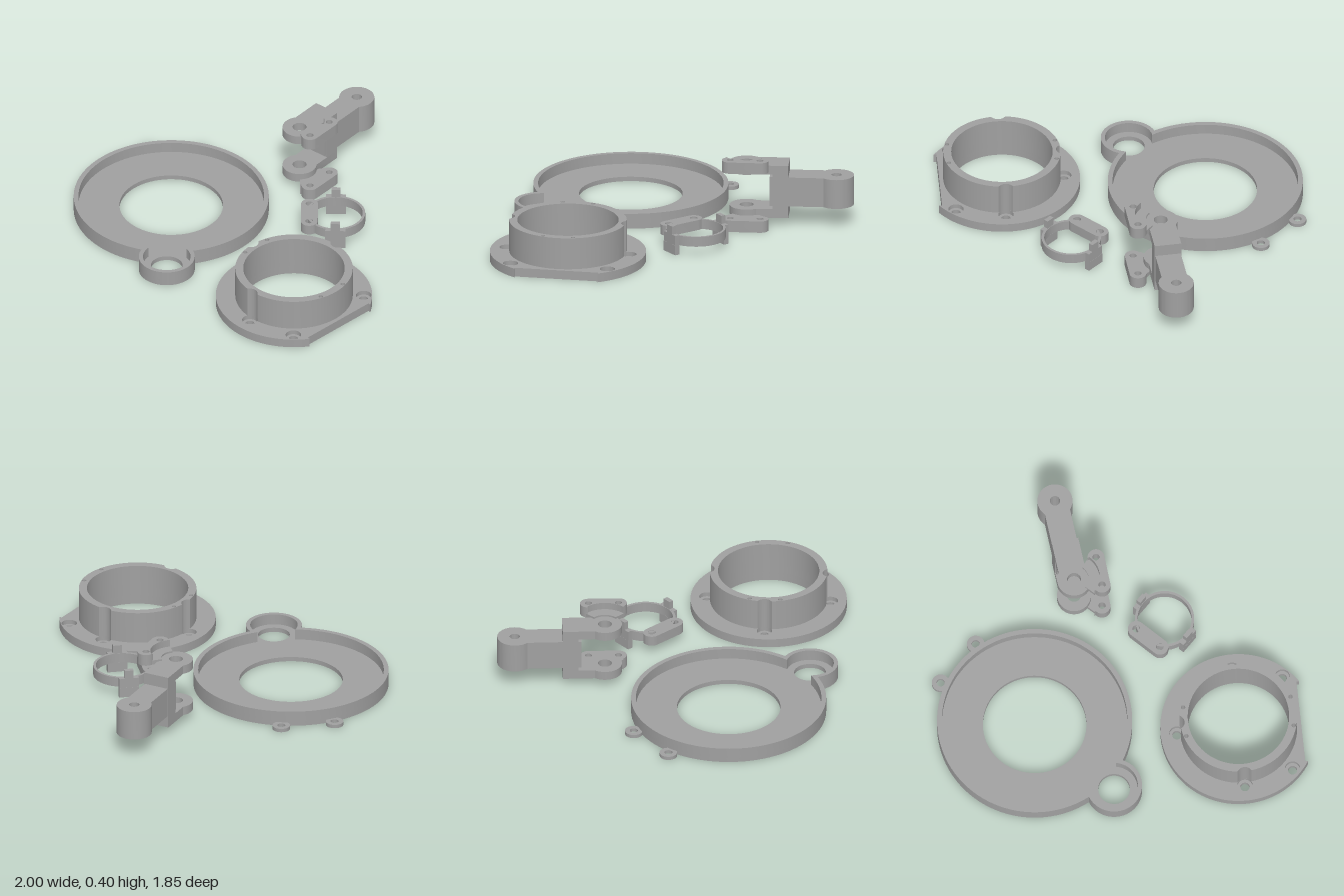
import * as THREE from 'three';
import { toCreasedNormals } from 'three/addons/utils/BufferGeometryUtils.js';

const grey = new THREE.MeshStandardMaterial({ color: 0xa0a0a0 });
grey.name = 'plain grey';
const PI = Math.PI;

// Points on an arc in plan (x, z)
function arc(c, r, a0, a1, n = 32) {
  const pts = [];
  for (let i = 0; i <= n; i++) {
    const a = a0 + (a1 - a0) * i / n;
    pts.push(new THREE.Vector2(c[0] + r * Math.cos(a), c[1] + r * Math.sin(a)));
  }
  return pts;
}
const circle = (c, r, n = 32) => arc(c, r, 0, 2 * PI, n).slice(0, -1);

// Outline of two overlapping circles
function twoCircles(c1, r1, c2, r2) {
  const dx = c2[0] - c1[0], dz = c2[1] - c1[1], d = Math.hypot(dx, dz), th = Math.atan2(dz, dx);
  const a1 = Math.acos((d * d + r1 * r1 - r2 * r2) / (2 * d * r1));
  const a2 = Math.acos((d * d + r2 * r2 - r1 * r1) / (2 * d * r2));
  return [...arc(c1, r1, th + a1, th + 2 * PI - a1, 96), ...arc(c2, r2, th + PI + a2, th + 3 * PI - a2, 40).slice(1, -1)];
}

// Round head with a straight arm leaving it in direction th
function keyhole(c, r, th, w, len) {
  const a = Math.asin(w / r), u = [Math.cos(th), Math.sin(th)];
  const end = s => new THREE.Vector2(c[0] + len * u[0] - s * w * u[1], c[1] + len * u[1] + s * w * u[0]);
  return [...arc(c, r, th + a, th + 2 * PI - a, 40), end(-1), end(1)];
}

// Plan outline raised from y0 to y1
function slab(parent, name, outline, y0, y1, holes = []) {
  const shape = new THREE.Shape(outline);
  shape.holes = holes.map(h => new THREE.Path(h));
  const g = new THREE.ExtrudeGeometry(shape, { depth: y1 - y0, bevelEnabled: false, steps: 1 });
  g.rotateX(PI / 2);
  g.translate(0, y1, 0);
  const mesh = new THREE.Mesh(toCreasedNormals(g, 0.5), grey);
  mesh.name = name;
  parent.add(mesh);
}

function box(parent, name, w, h, d, x, y, z) {
  const mesh = new THREE.Mesh(new THREE.BoxGeometry(w, h, d), grey);
  mesh.position.set(x, y, z);
  mesh.name = name;
  parent.add(mesh);
}

function part(parent, name) {
  const g = new THREE.Group();
  g.name = name;
  parent.add(g);
  return g;
}

// Shallow dish with a round side pocket and two screw ears
function buildDish(root) {
  const g = part(root, 'dish');
  const c = [-0.467, 0.353], lobe = [-0.075, 0.772];
  const outer = twoCircles(c, 0.533, lobe, 0.153);
  slab(g, 'dishFloor', outer, 0, 0.025, [circle(c, 0.283, 72), circle(lobe, 0.087)]);
  slab(g, 'dishWall', outer, 0.025, 0.085, [twoCircles(c, 0.507, lobe, 0.13)]);
  for (const e of [[-0.738, -0.148], [-0.952, 0.056]]) {
    const th = Math.atan2(c[1] - e[1], c[0] - e[0]);
    slab(g, 'dishEar', keyhole(e, 0.048, th, 0.03, 0.06), 0, 0.02, [circle(e, 0.022)]);
  }
}

// Tall collar on a flange with one flat side
function buildCollar(root) {
  const g = part(root, 'collar');
  const c = [0.637, 0.497], bore = circle(c, 0.277, 96);
  const cut = Math.asin(0.232 / 0.427);
  const flange = [...arc(c, 0.427, cut, 2 * PI - cut, 96), new THREE.Vector2(0.98, 0.265), new THREE.Vector2(0.98, 0.729)];
  const screws = [[0.637, 0.159], [0.637, 0.835], [0.299, 0.497], [0.906, 0.228], [0.906, 0.766]];
  slab(g, 'flangeBase', flange, 0, 0.025, [bore, ...screws.map(s => circle(s, 0.025))]);
  slab(g, 'flangeTop', flange, 0.025, 0.05, [bore, ...screws.map(s => circle(s, 0.042))]);

  // Wall scalloped around the three nearest screws
  const wall = [];
  for (let i = 0; i < 360; i++) {
    const a = i * PI / 180;
    let r = 0.321;
    for (const s of [PI / 2, PI, 1.5 * PI]) {
      const side = 0.338 * Math.sin(a - s), along = 0.338 * Math.cos(a - s);
      if (along > 0 && Math.abs(side) < 0.042) r = Math.min(r, along - Math.sqrt(0.042 ** 2 - side ** 2));
    }
    wall.push(new THREE.Vector2(c[0] + r * Math.cos(a), c[1] + r * Math.sin(a)));
  }
  const pins = [];
  for (const x of [-0.295, 0.295]) for (const z of [-0.084, 0.084]) pins.push(circle([c[0] + x, c[1] + z], 0.012, 16));
  slab(g, 'collarWall', wall, 0.05, 0.228, [bore, ...pins]);
}

// Thin ring with a two-hole tab and a pair of clips
function buildClipRing(root) {
  const g = part(root, 'clipRing');
  g.position.set(0.3, 0, -0.152);
  g.rotation.y = -PI / 4;
  slab(g, 'ring', circle([0, 0], 0.162, 72), 0.055, 0.11, [circle([0, 0], 0.148, 72)]);
  const l = [-0.083, 0.143], r = [0.083, 0.143];
  slab(g, 'ringTab', [...arc(r, 0.046, -PI / 2, PI / 2, 20), ...arc(l, 0.046, PI / 2, 1.5 * PI, 20)], 0.055, 0.112,
    [circle(l, 0.021), circle(r, 0.021)]);
  for (const s of [-1, 1]) {
    box(g, 'clipLeg', 0.03, 0.056, 0.11, s * 0.162, 0.028, 0);
    box(g, 'clipBody', 0.026, 0.055, 0.11, s * 0.163, 0.083, 0);
    box(g, 'clipPin', 0.026, 0.05, 0.05, s * 0.163, 0.132, 0);
  }
}

// Forked arm with hinge tabs above and below
function buildArm(root) {
  const g = part(root, 'forkedArm');
  const end = [-0.23, -0.834], hub = [-0.177, -0.344];
  const th = Math.atan2(hub[1] - end[1], hub[0] - end[0]);
  slab(g, 'armBody', keyhole(end, 0.096, th, 0.07, 0.362), 0.117, 0.283, [circle(end, 0.028)]);

  const u = [Math.cos(th), Math.sin(th)];
  const at = (d, s) => new THREE.Vector2(hub[0] - d * u[0] - s * u[1], hub[1] - d * u[1] + s * u[0]);
  slab(g, 'forkWeb', [at(0.147, -0.074), at(0.147, 0.074), at(0.233, 0.074), at(0.233, -0.074)], 0.1, 0.3);

  const a = [-0.046, -0.443], b = [-0.03, -0.28];
  const tab = [...arc(a, 0.046, PI, 2 * PI, 20), ...arc(b, 0.046, 0, 0.8 * PI, 20), ...arc(hub, 0.14, 0.75, -0.83, 24)];
  const fan = [...arc(hub, 0.141, -0.9, 0.75, 24), ...arc(hub, 0.08, 0.75, -0.9, 24)];
  // Same three layers mirrored about mid height
  for (const lower of [false, true]) {
    const layer = (name, outline, y0, y1, holes) =>
      lower ? slab(g, name, outline, 0.4 - y1, 0.4 - y0, holes) : slab(g, name, outline, y0, y1, holes);
    layer('forkPlate', keyhole(hub, 0.093, th + PI, 0.074, 0.233), 0.3, 0.35, [circle(hub, 0.038)]);
    layer('hingeFan', fan, 0.335, 0.36);
    layer('hingeTab', tab, 0.335, 0.4, [circle(a, 0.019), circle(b, 0.019)]);
  }
}

export function createModel() {
  const root = new THREE.Group();
  root.name = 'mountingParts';
  buildDish(root);
  buildCollar(root);
  buildClipRing(root);
  buildArm(root);
  return root;
}
